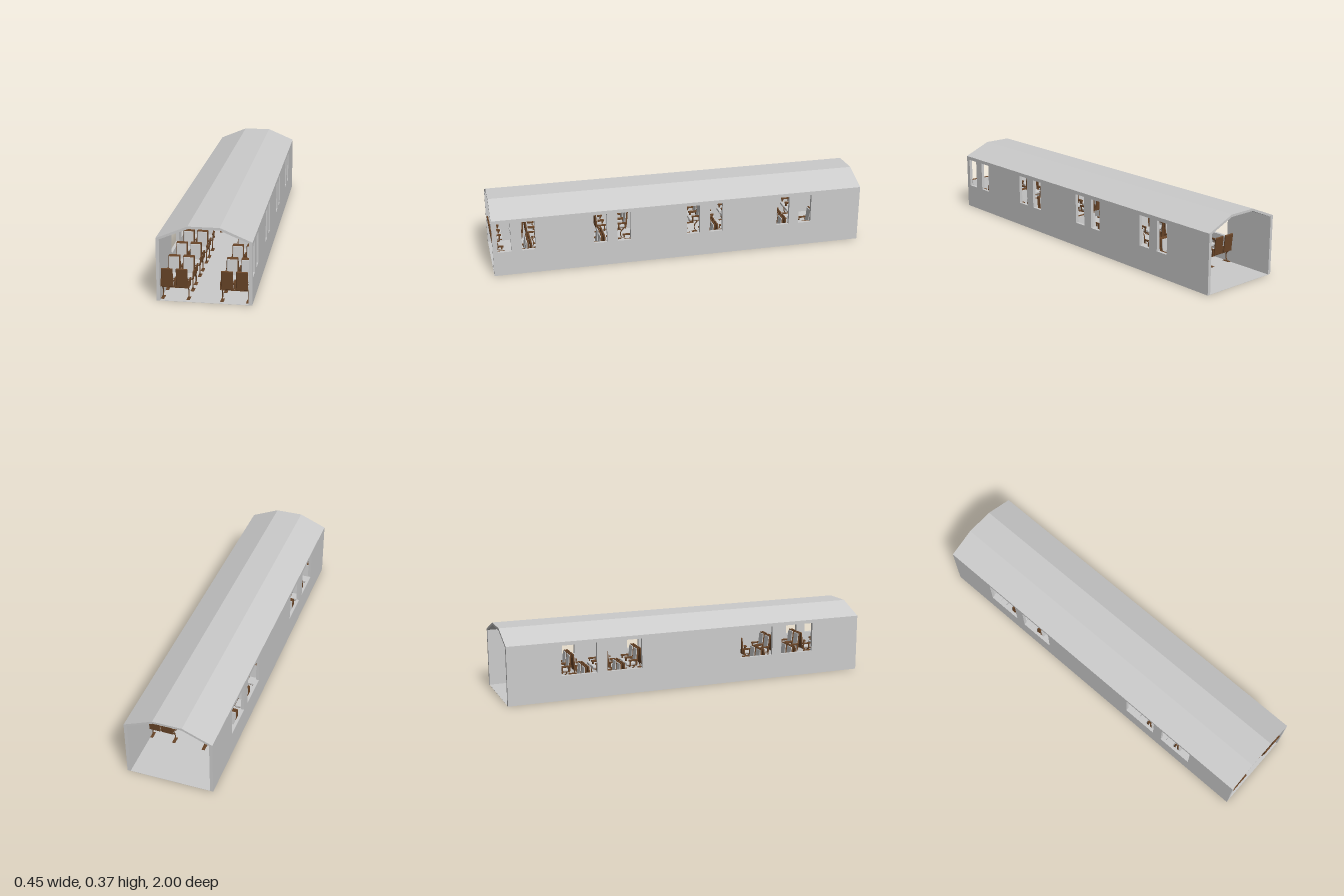
import * as THREE from 'three';
import { RoundedBoxGeometry } from 'three/addons/geometries/RoundedBoxGeometry.js';

const grey = new THREE.MeshStandardMaterial({ color: 0xcccccc });
const brown = new THREE.MeshStandardMaterial({ color: 0x6b4628 });

function add(parent, name, geometry, material, x = 0, y = 0, z = 0) {
  const mesh = new THREE.Mesh(geometry, material);
  mesh.name = name;
  mesh.position.set(x, y, z);
  parent.add(mesh);
  return mesh;
}

// Side wall: an upright slab with window openings given as [zMin, zMax]
function wallGeometry(windows, outerX, thickness) {
  const rect = (P, z0, z1, y0, y1) => {
    const p = new P();
    p.moveTo(z0, y0);
    p.lineTo(z1, y0);
    p.lineTo(z1, y1);
    p.lineTo(z0, y1);
    p.closePath();
    return p;
  };
  const shape = rect(THREE.Shape, -1, 1, 0, 0.303);
  for (const [z0, z1] of windows) shape.holes.push(rect(THREE.Path, z0, z1, 0.13, 0.288));
  const geo = new THREE.ExtrudeGeometry(shape, { depth: thickness, bevelEnabled: false });
  geo.rotateY(-Math.PI / 2);
  geo.translate(outerX, 0, 0);
  return geo;
}

// Faceted roof section swept along the carriage
function roofGeometry() {
  const half = [[0.225, 0.303], [0.225, 0.307], [0.075, 0.37]];
  const inner = [[0.073, 0.358], [0.208, 0.302]];
  const mirror = (pts) => pts.map(([x, y]) => [-x, y]).reverse();
  const outline = [...half, ...mirror(half), ...mirror(inner), ...inner];
  const shape = new THREE.Shape(outline.map(([x, y]) => new THREE.Vector2(x, y)));
  const geo = new THREE.ExtrudeGeometry(shape, { depth: 2, bevelEnabled: false });
  geo.translate(0, 0, -1);
  return geo;
}

// Geometries shared by every bench
const legCurve = new THREE.CatmullRomCurve3([
  new THREE.Vector3(0, 0.06, 0.03),
  new THREE.Vector3(0, 0.045, 0.043),
  new THREE.Vector3(0, 0.022, 0.046),
  new THREE.Vector3(0, 0.003, 0.036),
]);
const parts = {
  shell: new RoundedBoxGeometry(0.055, 0.094, 0.009, 2, 0.003),
  pad: new RoundedBoxGeometry(0.049, 0.084, 0.007, 1, 0.002),
  cushion: new RoundedBoxGeometry(0.052, 0.014, 0.056, 2, 0.003),
  pan: new THREE.BoxGeometry(0.05, 0.004, 0.05),
  armPad: new RoundedBoxGeometry(0.007, 0.01, 0.05, 1, 0.002),
  armPost: new THREE.BoxGeometry(0.005, 0.03, 0.007),
  rail: new THREE.BoxGeometry(0.127, 0.006, 0.006),
  leg: new THREE.TubeGeometry(legCurve, 8, 0.0028, 6),
  foot: new THREE.BoxGeometry(0.016, 0.003, 0.04),
};

// One seat facing +z, its back resting at z = 0
function makeSeat() {
  const seat = new THREE.Group();
  seat.name = 'seat';
  const back = new THREE.Group();
  back.name = 'backrest';
  back.position.set(0, 0.113, 0.011);
  back.rotation.x = -0.1;
  add(back, 'backShell', parts.shell, brown);
  add(back, 'backPad', parts.pad, grey, 0, 0, 0.006);
  seat.add(back);
  add(seat, 'cushion', parts.cushion, grey, 0, 0.073, 0.046);
  add(seat, 'seatPan', parts.pan, brown, 0, 0.065, 0.045);
  for (const side of [-1, 1]) {
    add(seat, 'armrest', parts.armPad, brown, side * 0.031, 0.095, 0.04);
    add(seat, 'armrestRearPost', parts.armPost, brown, side * 0.031, 0.078, 0.02);
    add(seat, 'armrestFrontPost', parts.armPost, brown, side * 0.031, 0.078, 0.056);
  }
  return seat;
}

// Two seats on a common frame
function makeBench() {
  const bench = new THREE.Group();
  bench.name = 'bench';
  for (const side of [-1, 1]) {
    const seat = makeSeat();
    seat.position.x = side * 0.035;
    bench.add(seat);
    add(bench, 'leg', parts.leg, brown, side * 0.061, 0, 0);
    add(bench, 'foot', parts.foot, brown, side * 0.061, 0.002, 0.04);
  }
  add(bench, 'rearRail', parts.rail, brown, 0, 0.06, 0.03);
  add(bench, 'frontRail', parts.rail, brown, 0, 0.06, 0.055);
  return bench;
}

export function createModel() {
  const model = new THREE.Group();
  model.name = 'railCarriage';

  // Body, open at both ends
  add(model, 'floor', new THREE.BoxGeometry(0.45, 0.001, 2), grey, 0, 0.0005, 0);
  add(model, 'roof', roofGeometry(), grey);

  // Left wall: four pairs of narrow windows
  const narrow = [];
  for (const z of [0.975, 0.475, -0.025, -0.525]) {
    narrow.push([z - 0.07, z], [z - 0.195, z - 0.125]);
  }
  add(model, 'leftWall', wallGeometry(narrow, 0.225, 0.017), grey);

  // Right wall: two pairs of wide windows
  const wide = [[-0.72, -0.53], [-0.475, -0.285], [0.28, 0.47], [0.525, 0.715]];
  add(model, 'rightWall', wallGeometry(wide, -0.209, 0.016), grey);

  // Two seating sections of four facing bays, on both sides of the aisle
  const pitch = 0.192;
  const bench = makeBench();
  for (const start of [1, 0]) {
    for (let bay = 0; bay < 4; bay++) {
      for (const x of [-0.141, 0.141]) {
        const rearward = bench.clone();
        rearward.position.set(x, 0, start - bay * pitch);
        rearward.rotation.y = Math.PI;
        const forward = bench.clone();
        forward.position.set(x, 0, start - (bay + 1) * pitch);
        model.add(rearward, forward);
      }
    }
  }
  return model;
}
